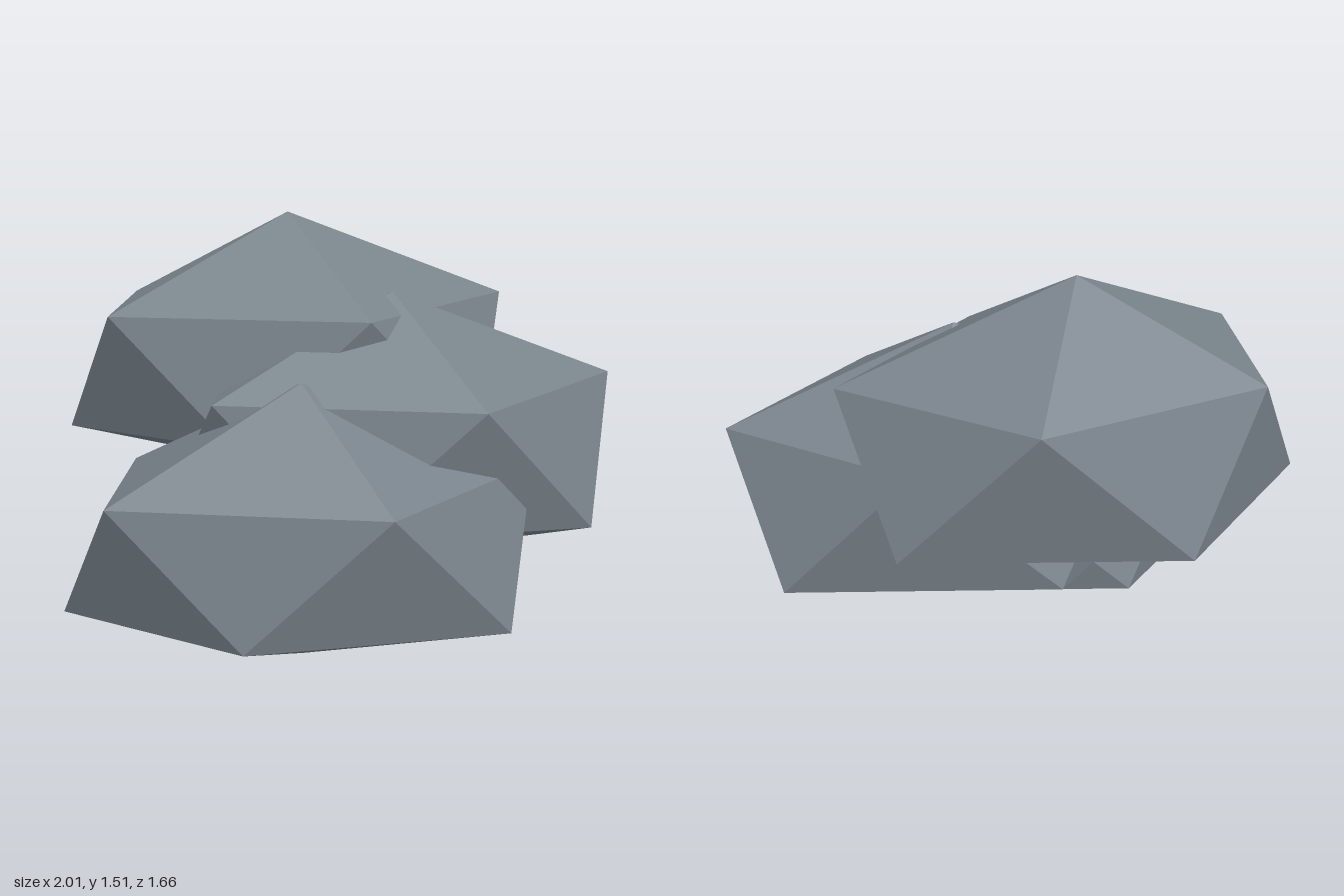
import * as THREE from 'three';

// Faceted boulder: two poles, two five-sided rings, each ring with one dented corner
function boulderGeometry() {
  const points = [[0, 0.505, 0]];
  const ring = (rx, y, rz, turn, dented) => {
    for (let i = 0; i < 5; i++) {
      const a = turn + (i * Math.PI * 2) / 5;
      const s = i === dented ? 0.885 : 1;
      points.push([rx * s * Math.cos(a), y * s, rz * s * Math.sin(a)]);
    }
  };
  ring(0.813, 0.187, 0.537, 0, 3);
  ring(0.84, -0.3, 0.568, Math.PI / 5, 1);
  points.push([0, -0.505, 0]);

  const index = [];
  for (let i = 0; i < 5; i++) {
    const j = (i + 1) % 5;
    const u0 = 1 + i, u1 = 1 + j, l0 = 6 + i, l1 = 6 + j;
    index.push(0, u1, u0, u0, u1, l0, u1, l1, l0, l0, l1, 11);
  }
  const indexed = new THREE.BufferGeometry();
  indexed.setAttribute('position', new THREE.Float32BufferAttribute(points.flat(), 3));
  indexed.setIndex(index);
  const geometry = indexed.toNonIndexed();
  geometry.computeVertexNormals();
  return geometry;
}

export function createModel() {
  const group = new THREE.Group();
  group.name = 'rockPile';
  const stone = new THREE.MeshStandardMaterial({ color: 0x78828a, flatShading: true });
  stone.name = 'stone grey';
  const geometry = boulderGeometry();

  // Three overlapping boulders stepping up towards the back
  const boulders = [
    ['frontBoulder', -0.17, 0.51, 0.315],
    ['middleBoulder', 0.183, 0.76, 0.01],
    ['backBoulder', -0.17, 1.01, -0.29],
  ];
  for (const [name, x, y, z] of boulders) {
    const boulder = new THREE.Mesh(geometry, stone);
    boulder.name = name;
    boulder.position.set(x, y, z);
    group.add(boulder);
  }
  return group;
}
